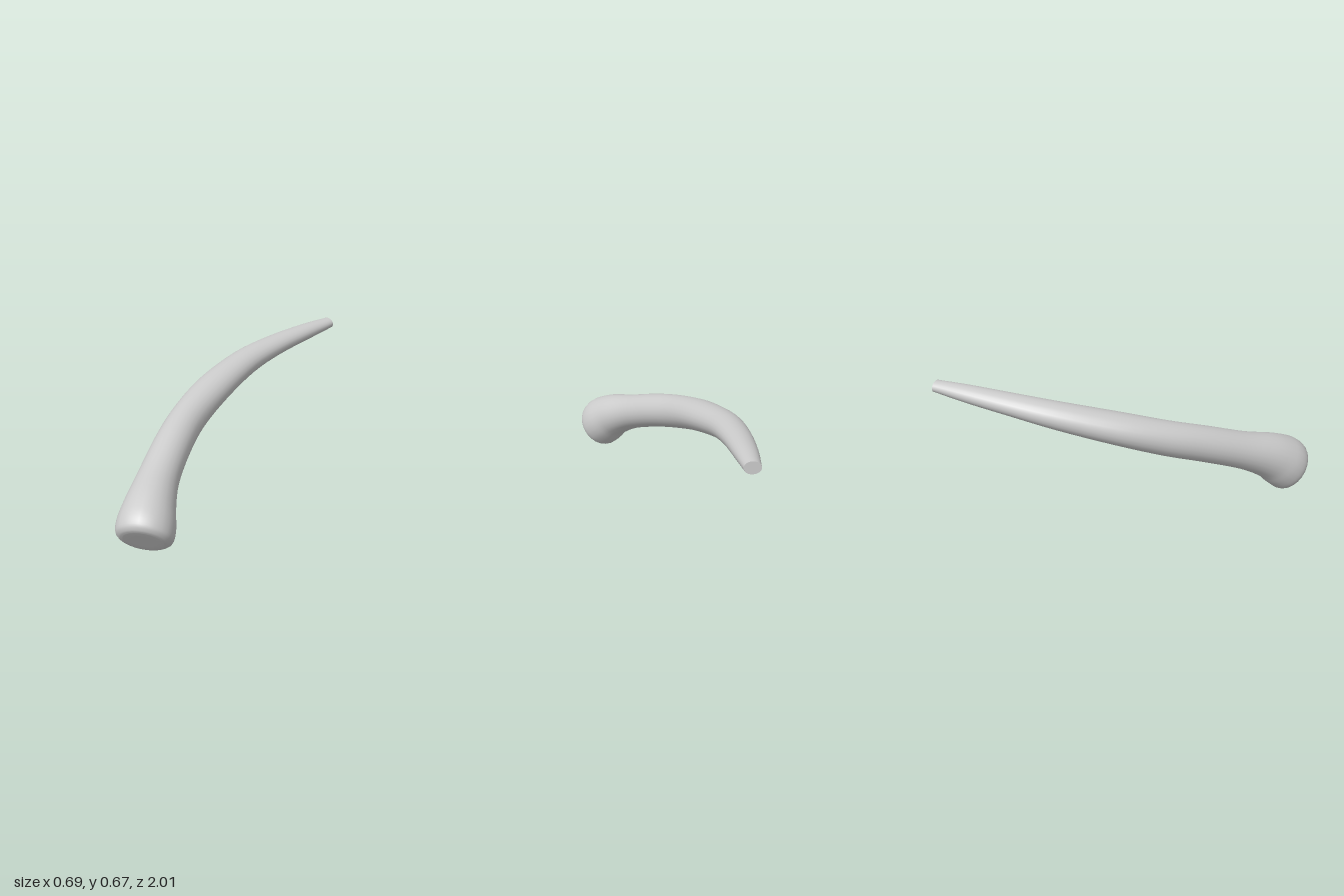
import * as THREE from 'three';

// Stations from thin tip to thick butt: x, y, z, horizontal radius, vertical radius
const STATIONS = [
  [-0.197, 0.636, -0.995, 0.042, 0.031],
  [-0.225, 0.618, -0.80, 0.060, 0.046],
  [-0.252, 0.591, -0.55, 0.076, 0.058],
  [-0.257, 0.552, -0.30, 0.089, 0.072],
  [-0.215, 0.487, 0.00, 0.102, 0.085],
  [-0.147, 0.418, 0.25, 0.098, 0.094],
  [-0.058, 0.355, 0.45, 0.101, 0.098],
  [0.050, 0.277, 0.65, 0.108, 0.104],
  [0.138, 0.212, 0.785, 0.130, 0.128],
  [0.186, 0.160, 0.852, 0.146, 0.146],
  [0.215, 0.118, 0.894, 0.145, 0.145],
  [0.226, 0.103, 0.911, 0.124, 0.124],
  [0.229, 0.099, 0.915, 0.100, 0.100],
];
const SIDES = 24;
const STEPS = 4; // rings per station
const BUTT_NORMAL = new THREE.Vector3(0.45, -0.58, 0.68).normalize();
const UP = new THREE.Vector3(0, 1, 0);

// One elliptical ring of points square to the given direction
function ring(center, dir, rh, rv) {
  const side = new THREE.Vector3().crossVectors(UP, dir).normalize();
  const top = new THREE.Vector3().crossVectors(dir, side);
  return Array.from({ length: SIDES }, (_, i) => {
    const a = (i / SIDES) * Math.PI * 2;
    return center.clone()
      .addScaledVector(side, rh * Math.cos(a))
      .addScaledVector(top, rv * Math.sin(a));
  });
}

// Skin over a list of rings that run along the direction of travel
function loft(rings) {
  const index = [];
  for (let r = 0; r < rings.length - 1; r++) {
    for (let i = 0; i < SIDES; i++) {
      const a = r * SIDES + i, b = r * SIDES + (i + 1) % SIDES;
      index.push(a, b, a + SIDES, b, b + SIDES, a + SIDES);
    }
  }
  const geometry = new THREE.BufferGeometry().setFromPoints(rings.flat());
  geometry.setIndex(index);
  geometry.computeVertexNormals();
  return geometry;
}

export function createModel() {
  const group = new THREE.Group();
  group.name = 'curvedHorn';
  const material = new THREE.MeshStandardMaterial({ color: 0xcccccc, roughness: 0.7 });
  const add = (name, geometry) => {
    const mesh = new THREE.Mesh(geometry, material);
    mesh.name = name;
    group.add(mesh);
  };

  const path = new THREE.CatmullRomCurve3(
    STATIONS.map(([x, y, z]) => new THREE.Vector3(x, y, z)), false, 'catmullrom');
  const radii = new THREE.CatmullRomCurve3(
    STATIONS.map((s) => new THREE.Vector3(s[3], s[4], 0)), false, 'catmullrom');

  // Shaft: the rings turn towards the slanted butt over the last stations
  const rings = [];
  const count = (STATIONS.length - 1) * STEPS;
  for (let i = 0; i <= count; i++) {
    const t = i / count;
    const blend = THREE.MathUtils.smoothstep(i / STEPS, 7, 10);
    const dir = path.getTangent(t).lerp(BUTT_NORMAL, blend).normalize();
    const r = radii.getPoint(t);
    rings.push(ring(path.getPoint(t), dir, r.x, r.y));
  }
  const tipRing = rings[0];

  // Flat butt with a rounded rim
  const buttCenter = path.getPoint(1);
  for (const r of [0.06, 0]) rings.push(ring(buttCenter, BUTT_NORMAL, r, r));
  add('shaft', loft(rings));

  // Sharp-edged flat tip
  const tipCenter = path.getPoint(0);
  add('tipCap', loft([tipRing.map(() => tipCenter.clone()), tipRing]));
  return group;
}
